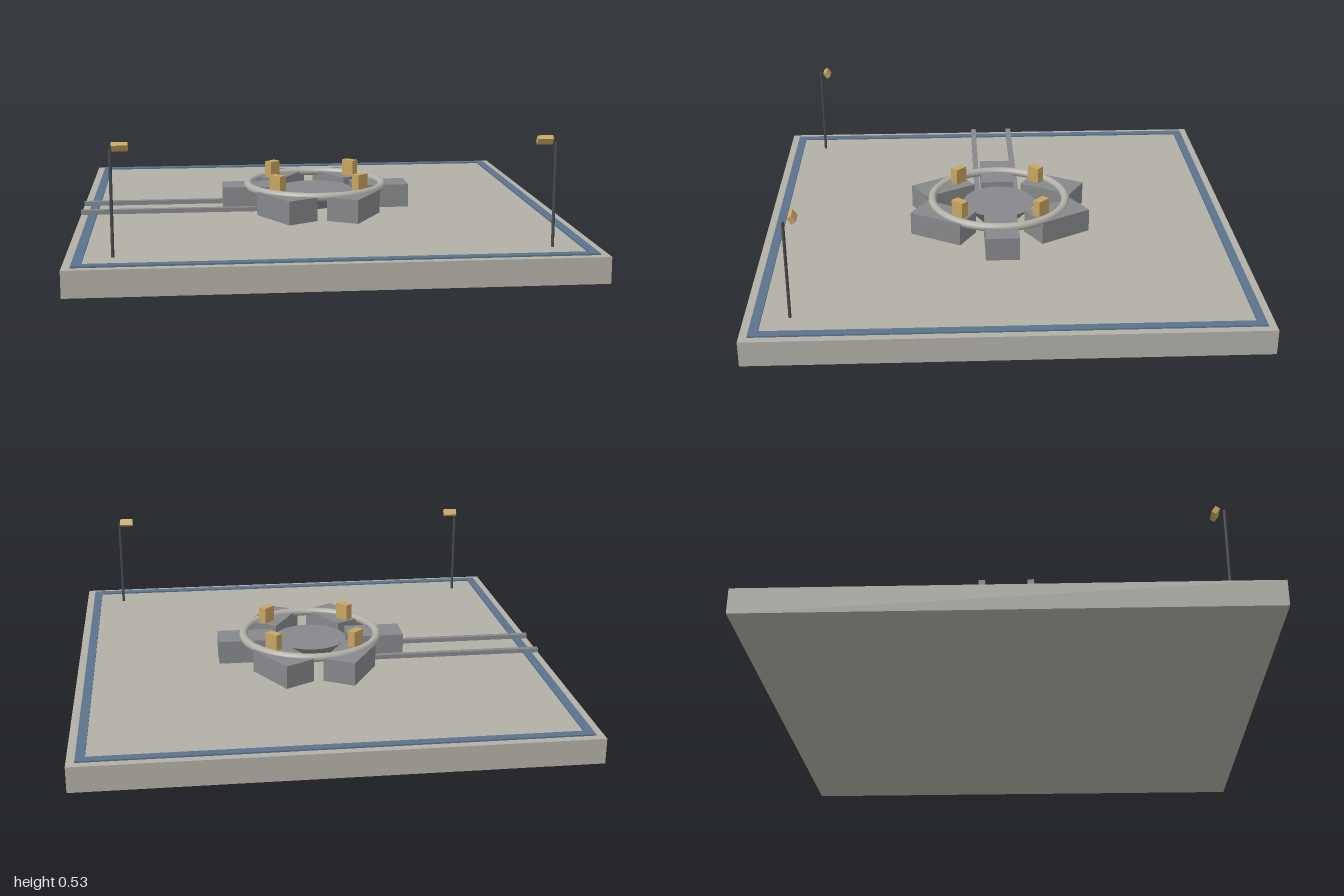
import * as THREE from 'three';

const material = (name, color) => {
  const m = new THREE.MeshStandardMaterial({ color });
  m.name = name;
  return m;
};

export function createModel() {
  const group = new THREE.Group();
  const concrete = material('concrete', 0xb2afa7);
  const steel = material('steel grey', 0x86888b);
  const blue = material('stripe blue', 0x5a738c);
  const amber = material('amber', 0xc8a562);
  const dark = material('dark metal', 0x484b50);

  const add = (name, geometry, mat, x, y, z) => {
    const mesh = new THREE.Mesh(geometry, mat);
    mesh.name = name;
    mesh.position.set(x, y, z);
    group.add(mesh);
    return mesh;
  };
  const box = (name, w, h, d, mat, x, y, z) =>
    add(name, new THREE.BoxGeometry(w, h, d), mat, x, y, z);

  const top = 0.102;

  // Ground slab
  box('slab', 2, top, 2, concrete, 0, top / 2, 0);

  // Square border stripe
  const square = (path, r) =>
    path.moveTo(-r, -r).lineTo(r, -r).lineTo(r, r).lineTo(-r, r).closePath();
  const outline = square(new THREE.Shape(), 0.968);
  outline.holes.push(square(new THREE.Path(), 0.932));
  const border = new THREE.ExtrudeGeometry(outline, { depth: 0.006, bevelEnabled: false });
  border.rotateX(-Math.PI / 2);
  add('borderStripe', border, blue, 0, top, 0);

  // Six blocks around the centre, each turned about its own middle
  for (let i = 0; i < 6; i++) {
    const a = (i * Math.PI) / 3;
    const block = box('padBlock', 0.24, 0.1, 0.14, steel,
      0.28 * Math.cos(a), top + 0.049, 0.28 * Math.sin(a));
    block.rotation.y = a;
  }

  // Central flared deflector
  add('deflector', new THREE.CylinderGeometry(0.155, 0.08, 0.08, 32), steel, 0, top + 0.04, 0);

  // Ring resting on the blocks
  const ring = new THREE.TorusGeometry(0.29, 0.018, 12, 64);
  ring.rotateX(Math.PI / 2);
  add('ring', ring, concrete, 0, 0.198, 0);

  // Four clamps inside the ring
  for (const sx of [-1, 1]) {
    for (const sz of [-1, 1]) {
      const clamp = box('clamp', 0.06, 0.07, 0.036, amber, sx * 0.174, 0.235, sz * 0.172);
      clamp.rotation.y = (sx * sz * Math.PI) / 4;
    }
  }

  // Pair of rails running to the edge
  for (const s of [-1, 1]) {
    box('rail', 0.81, 0.018, 0.024, steel, -0.595, top + 0.009, s * 0.088);
  }

  // Floodlights on thin poles
  for (const s of [-1, 1]) {
    add('lightPole', new THREE.CylinderGeometry(0.006, 0.006, 0.4, 8), dark,
      s * 0.825, top + 0.2, 0.825);
    const lamp = box('floodlight', 0.06, 0.03, 0.02, amber, s * 0.792, 0.507, 0.793);
    lamp.rotation.x = 0.6;
  }

  return group;
}
